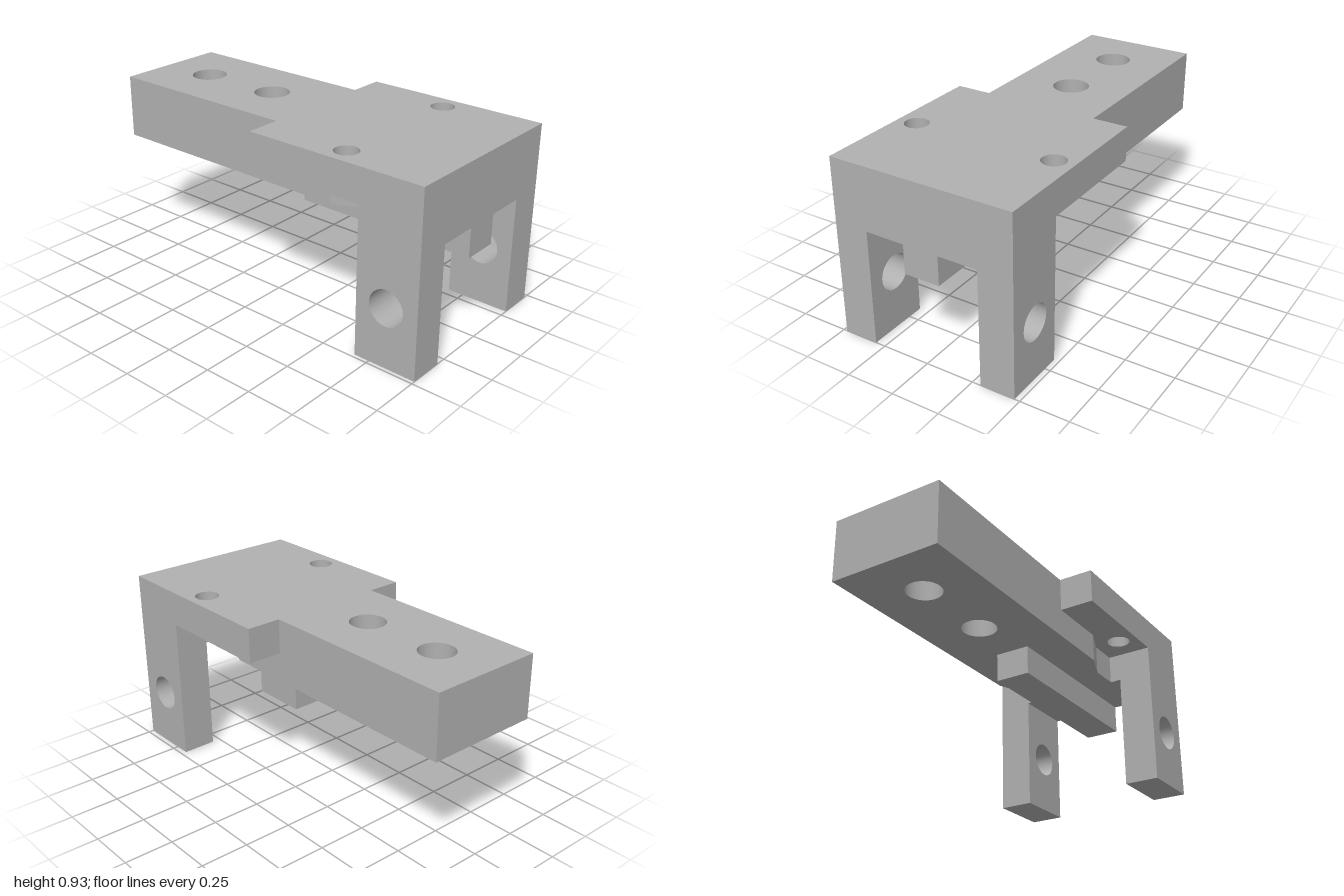
import * as THREE from 'three';
import { toCreasedNormals } from 'three/addons/utils/BufferGeometryUtils.js';

// Half widths (z), heights (y) and stations (x)
const WIDE = 0.477, BAR = 0.298, NECK = 0.24, RIB = 0.093;
const TOP = 0.926, PLATE = 0.75, BASE = 0.6, RIB_BOTTOM = 0.45;
const BACK = -1, STEP = 0.04, LEG = 0.67, END = 1;

function outline(points, holes = []) {
  const shape = new THREE.Shape(points.map(([x, y]) => new THREE.Vector2(x, y)));
  for (const [x, y, r] of holes) {
    const hole = new THREE.Path();
    hole.absarc(x, y, r, 0, Math.PI * 2, true);
    shape.holes.push(hole);
  }
  return shape;
}

// Mirror one side of a plan (x, half width) to the other side
function symmetric(half) {
  return [...half.map(([x, w]) => [x, -w]), ...half.slice().reverse()];
}

export function createModel() {
  const group = new THREE.Group();
  const grey = new THREE.MeshStandardMaterial({ color: 0xb0b0b0 });
  grey.name = 'grey';

  // The whole bracket leans very slightly along z
  const lean = new THREE.Matrix4().set(
    1, 0, 0, 0,
    0, 1, 0, 0,
    0, -0.0065, 1, 0.004,
    0, 0, 0, 1);

  function add(name, geometry) {
    const mesh = new THREE.Mesh(toCreasedNormals(geometry.applyMatrix4(lean), 0.3), grey);
    mesh.name = name;
    group.add(mesh);
  }

  function extrude(shape, depth) {
    return new THREE.ExtrudeGeometry(shape, { depth, bevelEnabled: false, curveSegments: 48 });
  }

  // Horizontal slab from a plan outline
  function slab(name, half, y0, y1, holes) {
    const geometry = extrude(outline(symmetric(half), holes), y1 - y0);
    add(name, geometry.rotateX(-Math.PI / 2).translate(0, y0, 0));
  }

  const barHoles = [[-0.705, 0, 0.09], [-0.258, 0, 0.09]];
  const screwHoles = [[0.52, 0.374, 0.06], [0.52, -0.374, 0.06]];

  // Upper slab: narrow bar widening to the head plate
  slab('topPlate', [[BACK, BAR], [STEP, BAR], [STEP, WIDE], [END, WIDE]],
    PLATE, TOP, [...barHoles, ...screwHoles]);

  // Lower slab: bar tapering to a neck, then the full-width end block
  slab('lowerBar', [[BACK, BAR], [0.373, BAR], [0.515, NECK], [LEG, NECK], [LEG, WIDE], [END, WIDE]],
    BASE, PLATE, barHoles);

  // Rib under the bar
  slab('rib', [[STEP, RIB], [END, RIB]], RIB_BOTTOM, BASE);

  // Pair of legs with pin holes
  for (const [name, z] of [['leftLeg', BAR], ['rightLeg', -WIDE]]) {
    const side = outline([[LEG, 0], [END, 0], [END, BASE], [LEG, BASE]], [[0.833, 0.303, 0.091]]);
    add(name, extrude(side, WIDE - BAR).translate(0, 0, z));
  }

  return group;
}
